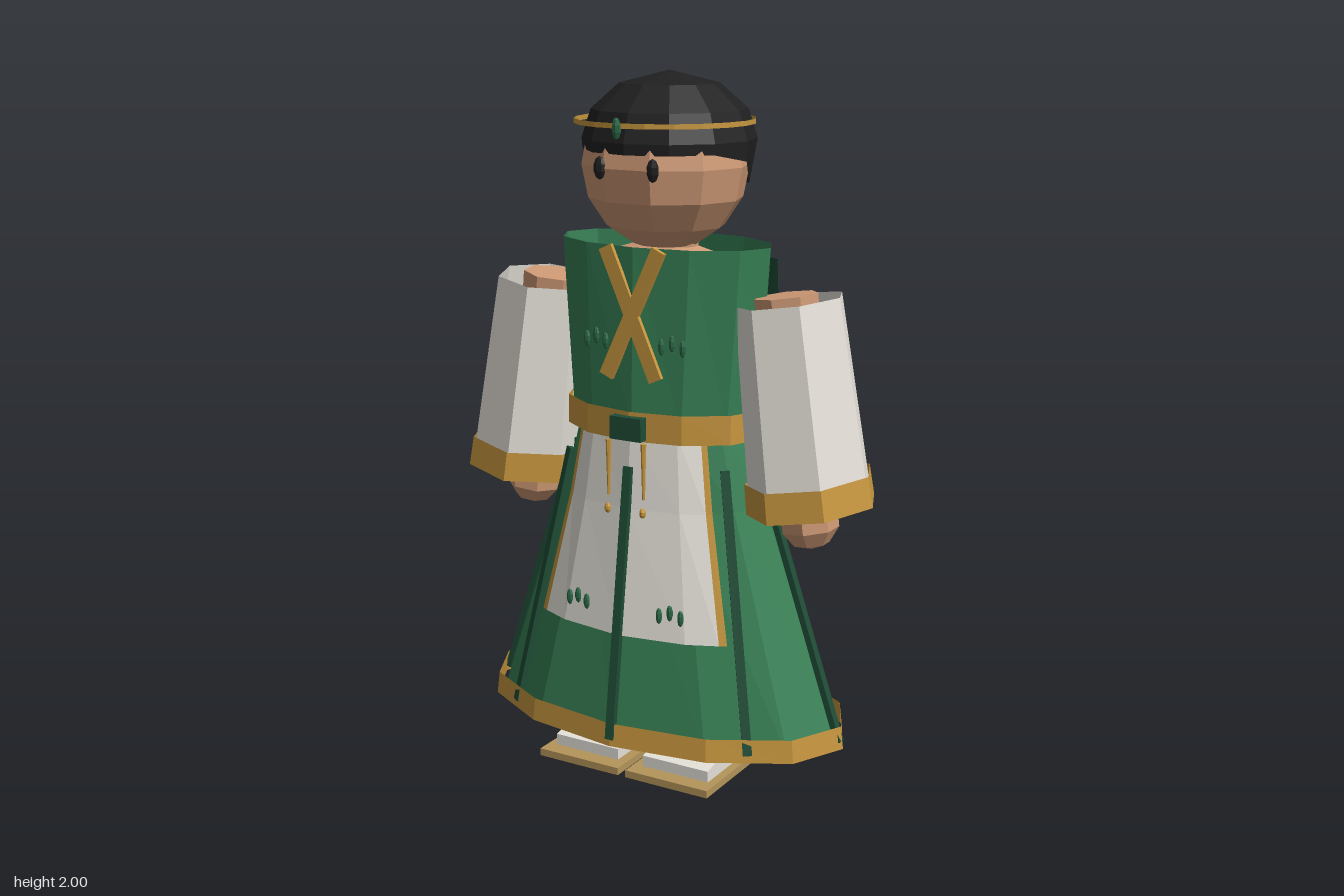
import * as THREE from 'three';

const V = (x, y, z) => new THREE.Vector3(x, y, z);
const D = Math.PI / 180;

export function createModel() {
  const model = new THREE.Group();
  const mat = (name, color) => new THREE.MeshStandardMaterial({ name, color, flatShading: true, side: THREE.DoubleSide });
  const green = mat('tunic green', 0x378055);
  const dark = mat('dark green', 0x1f4d36);
  const leafGreen = mat('leaf green', 0x2b6846);
  const gold = mat('gold', 0xc8973f);
  const tan = mat('sole tan', 0xb5955a);
  const white = mat('linen white', 0xe6e2da);
  const skin = mat('skin', 0xcf9a76);
  const black = mat('black', 0x202020);

  const add = (name, geo, material, parent = model) => {
    const m = new THREE.Mesh(geo, material);
    m.name = name;
    parent.add(m);
    return m;
  };

  // Surface through rows of points, listed from top to bottom, left to right
  const patch = (rows) => {
    const p = [];
    const put = (...vs) => vs.forEach((v) => p.push(v.x, v.y, v.z));
    for (let i = 0; i < rows.length - 1; i++)
      for (let j = 0; j < rows[i].length - 1; j++) {
        const a = rows[i][j], b = rows[i][j + 1], c = rows[i + 1][j], d = rows[i + 1][j + 1];
        put(a, c, d, a, d, b);
      }
    const g = new THREE.BufferGeometry();
    g.setAttribute('position', new THREE.Float32BufferAttribute(p, 3));
    g.computeVertexNormals();
    return g;
  };

  // Point on a 12-sided oval ring; degrees run from the front (+z) towards +x
  const ring = (deg, y, rx, rz) => {
    const k = Math.floor(deg / 30), t = deg / 30 - k;
    const at = (n) => V(rx * Math.sin(n * 30 * D), y, rz * Math.cos(n * 30 * D));
    return at(k).lerp(at(k + 1), t);
  };
  const full = Array.from({ length: 13 }, (_, i) => i * 30);
  const band = (profile, angles = full) =>
    patch(profile.map(([y, rx, rz]) => angles.map((a) => ring(a, y, rx, rz))));

  // Flat bar between two points, its broad side facing n
  const bar = (a, b, w, d, n) => {
    const y = b.clone().sub(a), len = y.length();
    y.normalize();
    const x = y.clone().cross(n).normalize(), z = x.clone().cross(y);
    const mid = a.clone().add(b).multiplyScalar(0.5);
    return new THREE.BoxGeometry(w, len, d)
      .applyMatrix4(new THREE.Matrix4().makeBasis(x, y, z).setPosition(mid));
  };
  const blob = (rx, ry, rz, x, y, z, n = 7, m = 5) =>
    new THREE.SphereGeometry(1, n, m).scale(rx, ry, rz).translate(x, y, z);

  // Robe: bodice, skirt, hem and belt
  const skirt = [[1.04, 0.26, 0.18], [0.8, 0.325, 0.205], [0.13, 0.56, 0.302]];
  const skirtAt = (deg, y, off) => {
    const i = y > skirt[1][0] ? 0 : 1, a = skirt[i], b = skirt[i + 1];
    const t = (y - a[0]) / (b[0] - a[0]);
    return ring(deg, y, a[1] + (b[1] - a[1]) * t + off, a[2] + (b[2] - a[2]) * t + off);
  };
  add('bodice', band([[1.533, 0.33, 0.18], [1.04, 0.29, 0.19]]), green);
  add('skirt', band(skirt), green);
  add('hemBand', band([[0.187, 0.575, 0.314], [0.12, 0.583, 0.32]]), gold);
  add('belt', band([[1.077, 0.308, 0.204], [0.993, 0.308, 0.204]]), gold);
  add('buckle', new THREE.BoxGeometry(0.1, 0.066, 0.03).translate(0, 1.032, 0.21), dark);

  // Back capelet
  add('capelet', band([[1.488, 0.35, 0.195], [1.19, 0.36, 0.213]], [111, 120, 150, 180, 210, 240, 249]), dark);

  // Apron with trimmed sides
  const apronRows = (angles) => [[1.02, 1.12], [0.8, 1.06], [0.44, 1]].map(([y, s]) =>
    angles.map((a) => skirtAt(a * s, y, 0.013)));
  add('apron', patch(apronRows([-40, -26, 0, 26, 40])), white);
  add('apronTrimRight', patch(apronRows([-43.5, -40])), gold);
  add('apronTrimLeft', patch(apronRows([40, 43.5])), gold);

  // Eight ribbons down the skirt
  for (let k = 0; k < 8; k++) {
    const a = k * 45;
    const lean = k % 2 ? (k % 4 === 1 ? 12 : -12) : 0;
    const top = skirtAt(a + lean, 0.92, 0.014), low = skirtAt(a, 0.14, 0.014);
    const n = V(Math.sin(a * D) * 0.6, 0.2, Math.cos(a * D));
    add('skirtRibbon', bar(top, low, 0.026, 0.018, n), dark);
  }

  // Head, neck and shoulders
  const lathe = (pts, n) => new THREE.LatheGeometry(pts.map(([r, y]) => new THREE.Vector2(r, y)), n);
  add('head', new THREE.SphereGeometry(0.24, 10, 8).scale(1, 1, 0.94).translate(0, 1.745, 0), skin);
  add('shoulders', lathe([[0.24, 1.05], [0.27, 1.44], [0.2, 1.49], [0.1, 1.52], [0.1, 1.58]], 10).scale(1, 1, 0.6), skin);

  // Hair: a cap whose rim drops in steps towards the nape
  const hair = lathe([[0.232, 1.78], [0.245, 1.815], [0.219, 1.895], [0.14, 1.965], [0, 2]], 12);
  const hp = hair.attributes.position;
  for (let i = 0; i < hp.count; i++) {
    const z = hp.getZ(i);
    if (hp.getY(i) < 1.79) {
      hp.setY(i, z > 0.1 ? 1.785 : z > -0.05 ? 1.76 : 1.69);
      if (z < -0.05) { hp.setX(i, hp.getX(i) * 0.97); hp.setZ(i, z * 0.92); }
      else { hp.setX(i, hp.getX(i) * 1.045); hp.setZ(i, z * 1.045); }
    }
  }
  add('hair', hair.translate(0, 0, -0.02), black);
  add('headband', new THREE.CylinderGeometry(0.253, 0.253, 0.014, 20, 1, true).translate(0, 1.865, 0.004), gold);
  add('headbandGem', blob(0.014, 0.03, 0.01, 0, 1.858, 0.26), leafGreen);

  // Paired parts, built on the left and mirrored to the right
  for (const s of [1, -1]) {
    const side = new THREE.Group();
    side.name = s > 0 ? 'leftSide' : 'rightSide';
    side.scale.x = s;
    model.add(side);

    add('eye', blob(0.019, 0.032, 0.012, 0.083, 1.747, 0.212), black, side);

    // Wide sleeve with cuff, arm and hand
    const arm = new THREE.Group();
    arm.name = 'arm';
    arm.position.set(0.433, 1.107, 0);
    arm.rotation.z = 0.139;
    side.add(arm);
    const tube = (rt, rb, y0, y1) =>
      new THREE.CylinderGeometry(rt, rb, y1 - y0, 7, 1, true, Math.PI / 2)
        .scale(1, 1, 1.15).translate(0, (y0 + y1) / 2, 0);
    add('sleeve', tube(0.148, 0.172, -0.285, 0.29), white, arm);
    add('cuff', tube(0.177, 0.181, -0.29, -0.203), gold, arm);
    add('forearm', new THREE.CylinderGeometry(0.09, 0.065, 0.6, 7).translate(-0.012, 0.005, 0), skin, arm);
    add('hand', blob(0.088, 0.085, 0.085, -0.018, -0.325, 0), skin, arm);

    // Leg, wedge shoe and sole
    add('leg', new THREE.CylinderGeometry(0.095, 0.085, 0.95, 8).translate(0.155, 0.545, 0), skin, side);
    const wedge = new THREE.Shape([[0.205, 0.02], [0.205, 0.055], [-0.085, 0.115], [-0.085, 0.02]]
      .map(([x, y]) => new THREE.Vector2(x, y)));
    add('shoe', new THREE.ExtrudeGeometry(wedge, { depth: 0.215, bevelEnabled: false })
      .rotateY(-Math.PI / 2).translate(0.258, 0, 0), white, side);
    add('sole', new THREE.BoxGeometry(0.27, 0.022, 0.39).translate(0.148, 0.011, 0.06), tan, side);

    // Crossed chest band
    add('chestBand', bar(V(0.085, 1.53, 0.182), V(-0.08, 1.17, 0.19), 0.042, 0.014 + s * 0.001, V(0, 0, 1)), gold, side);

    // Belt cord with tassel
    add('beltCord', new THREE.CylinderGeometry(0.008, 0.004, 0.16, 6).translate(0.057, 0.915, 0.22), gold, side);
    add('tassel', blob(0.01, 0.015, 0.01, 0.057, 0.797, 0.226), gold, side);

    // Embroidered leaves on chest and apron
    for (let i = 0; i < 3; i++) {
      const lift = i === 1 ? 0.012 : 0;
      const cx = 0.09 + i * 0.032, ax = 0.12 + i * 0.032;
      add('chestLeaf', blob(0.01, 0.024, 0.008, cx, 1.265 + lift, 0.186 - cx * 0.08), leafGreen, side);
      add('apronLeaf', blob(0.01, 0.024, 0.008, ax, 0.512 + lift, 0.262 - ax * 0.15), leafGreen, side);
    }
  }
  return model;
}
